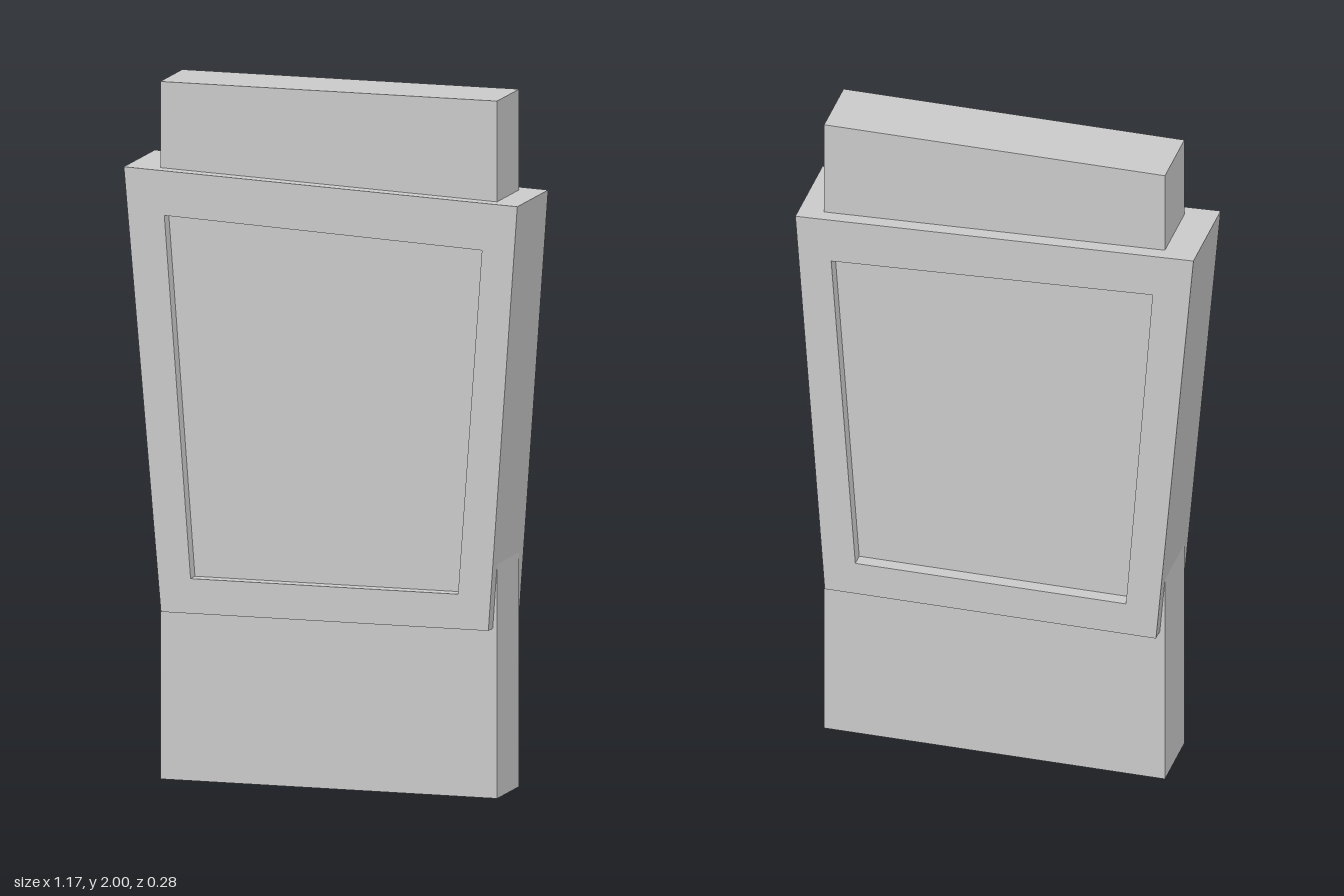
import * as THREE from 'three';

const material = new THREE.MeshStandardMaterial({ color: 0xcccccc, flatShading: true });

// Closed outline from [x, y] corners
function outline(corners, Type) {
  return new Type(corners.map(([x, y]) => new THREE.Vector2(x, y)));
}

export function createModel() {
  const group = new THREE.Group();

  // Upright slab; its faces form the floors of the recessed panels
  const slab = new THREE.Mesh(new THREE.BoxGeometry(1, 2, 0.2), material);
  slab.name = 'slab';
  slab.position.set(0.01, 1, 0);
  group.add(slab);

  // Tapered surround with a sloping top, open around the panel on both faces
  const shape = outline([[-0.475, 0.487], [0.497, 0.487], [0.583, 1.708], [-0.585, 1.757]], THREE.Shape);
  shape.holes.push(outline([[-0.387, 0.587], [-0.465, 1.624], [0.478, 1.577], [0.407, 0.587]], THREE.Path));
  const depth = 0.28;
  const geometry = new THREE.ExtrudeGeometry(shape, { depth, bevelEnabled: false });
  geometry.translate(0, 0, -depth / 2);
  const frame = new THREE.Mesh(geometry, material);
  frame.name = 'taperedFrame';
  group.add(frame);

  return group;
}
